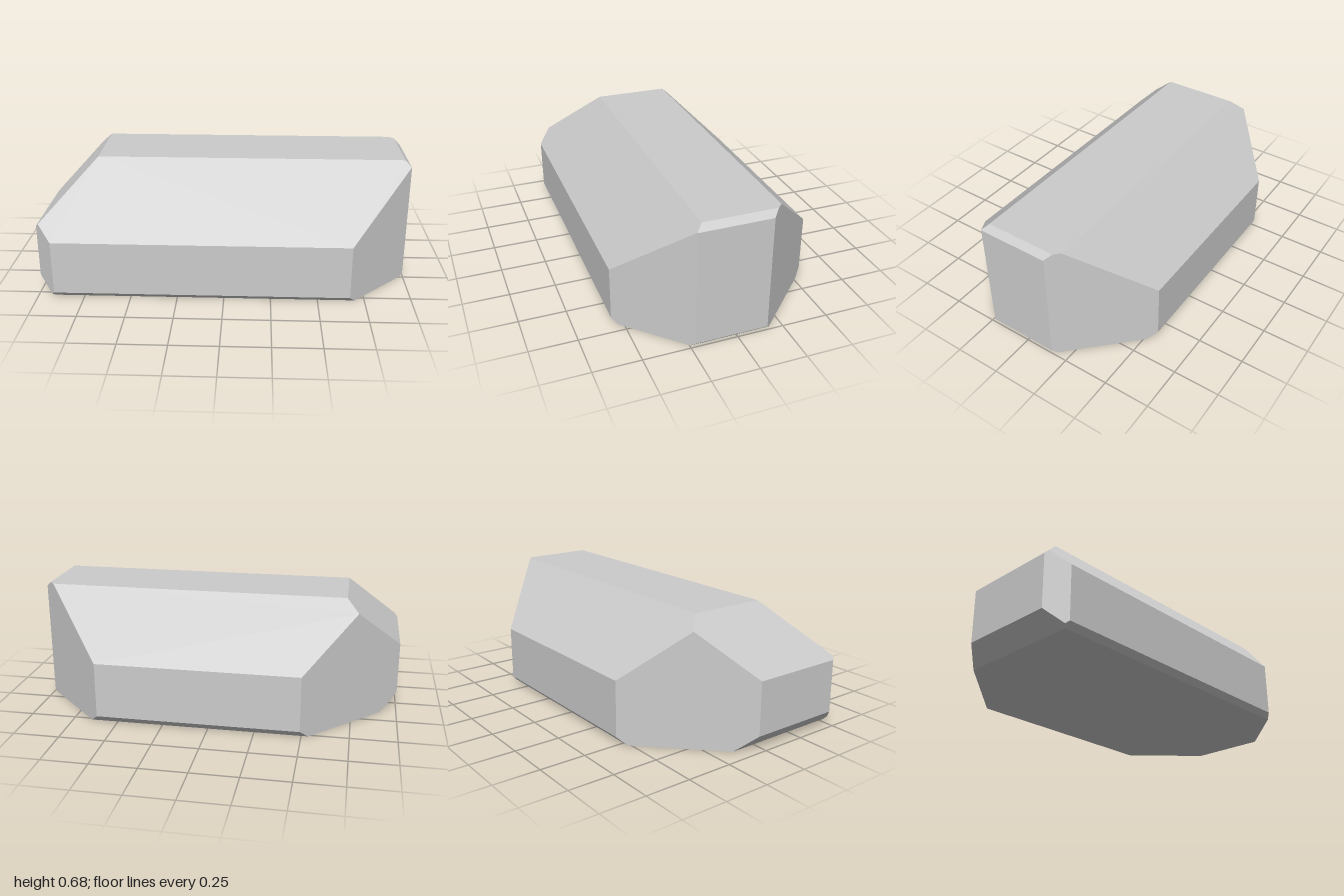
import * as THREE from 'three';
import { ConvexGeometry } from 'three/addons/geometries/ConvexGeometry.js';

// A block is bounded by planes: normal . point <= limit
const plane = (x, y, z, limit) => ({ n: new THREE.Vector3(x, y, z), d: limit });

const planes = [
  // six flat sides
  plane(1, 0, 0, 1), plane(-1, 0, 0, 1),
  plane(0, 1, 0, 0.68), plane(0, -1, 0, 0),
  plane(0, 0, 1, 0.557), plane(0, 0, -1, 0.557),
  // bevels along z (right and left ends)
  plane(1, 1, 0, 1.648), plane(-1, 1, 0, 1.38),
  plane(1, -1, 0, 0.98), plane(-1, -1, 0, 0.91),
  // bevels along x (front and back)
  plane(0, 1, 1, 0.878), plane(0, 1, -1, 0.903),
  plane(0, -1, 1, 0.528), plane(0, -1, -1, 0.515),
  // upright corner bevels
  plane(1, 0, 1, 1.227), plane(1, 0, -1, 1.162),
  plane(-1, 0, 1, 1.467), plane(-1, 0, -1, 1.052),
];

// Corner where three planes meet, or null when they do not meet in a point
function meet(a, b, c) {
  const bc = b.n.clone().cross(c.n);
  const det = a.n.dot(bc);
  if (Math.abs(det) < 1e-6) return null;
  return bc.multiplyScalar(a.d)
    .addScaledVector(c.n.clone().cross(a.n), b.d)
    .addScaledVector(a.n.clone().cross(b.n), c.d)
    .divideScalar(det);
}

// All corners of the solid enclosed by the planes
function corners(list) {
  const points = [];
  for (let i = 0; i < list.length; i++)
    for (let j = i + 1; j < list.length; j++)
      for (let k = j + 1; k < list.length; k++) {
        const p = meet(list[i], list[j], list[k]);
        if (!p || list.some(({ n, d }) => n.dot(p) > d + 1e-6)) continue;
        if (!points.some((q) => q.distanceTo(p) < 1e-4)) points.push(p);
      }
  return points;
}

export function createModel() {
  const group = new THREE.Group();
  group.name = 'bevelledBlock';
  const material = new THREE.MeshStandardMaterial({ color: 0xcccccc, flatShading: true });
  const block = new THREE.Mesh(new ConvexGeometry(corners(planes)), material);
  block.name = 'block';
  group.add(block);
  return group;
}
